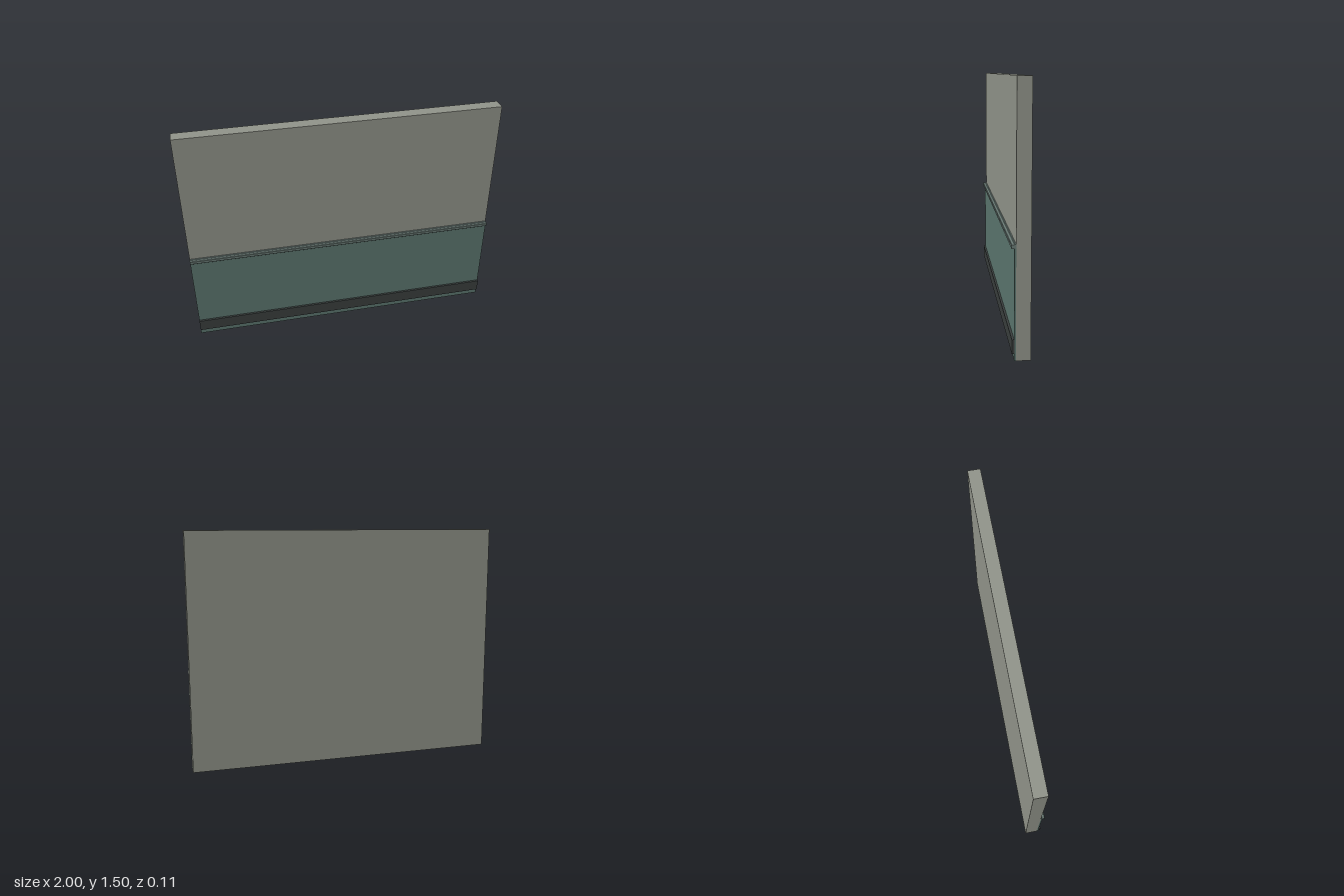
import * as THREE from 'three';

const WIDTH = 2;

// Extrudes a (z, y) cross-section along the full width of the wall
function strip(name, color, profile) {
  const shape = new THREE.Shape(profile.map(([z, y]) => new THREE.Vector2(-z, y)));
  const geometry = new THREE.ExtrudeGeometry(shape, { depth: WIDTH, bevelEnabled: false });
  geometry.translate(0, 0, -WIDTH / 2);
  geometry.rotateY(Math.PI / 2);
  const mesh = new THREE.Mesh(geometry, new THREE.MeshStandardMaterial({ color }));
  mesh.name = name;
  return mesh;
}

const rect = (z0, z1, y0, y1) => [[z0, y0], [z1, y0], [z1, y1], [z0, y1]];

export function createModel() {
  const group = new THREE.Group();
  group.name = 'wallSection';

  // Plain wall slab
  group.add(strip('wall', 0x92958b, rect(-0.053, 0.027, 0, 1.5)));

  // Thin lower cladding
  group.add(strip('wainscotPanel', 0x5c766f, rect(0.027, 0.036, 0, 0.62)));

  // Cap rail with slightly eased front edges
  group.add(strip('capRail', 0x6a7b76, [
    [0.027, 0.615], [0.05, 0.615], [0.053, 0.618],
    [0.053, 0.634], [0.05, 0.637], [0.036, 0.637], [0.033, 0.64], [0.027, 0.64],
  ]));

  // Dark bumper strip near the floor
  group.add(strip('bumperStrip', 0x3a3f3e, rect(0.036, 0.049, 0.04, 0.12)));

  return group;
}
